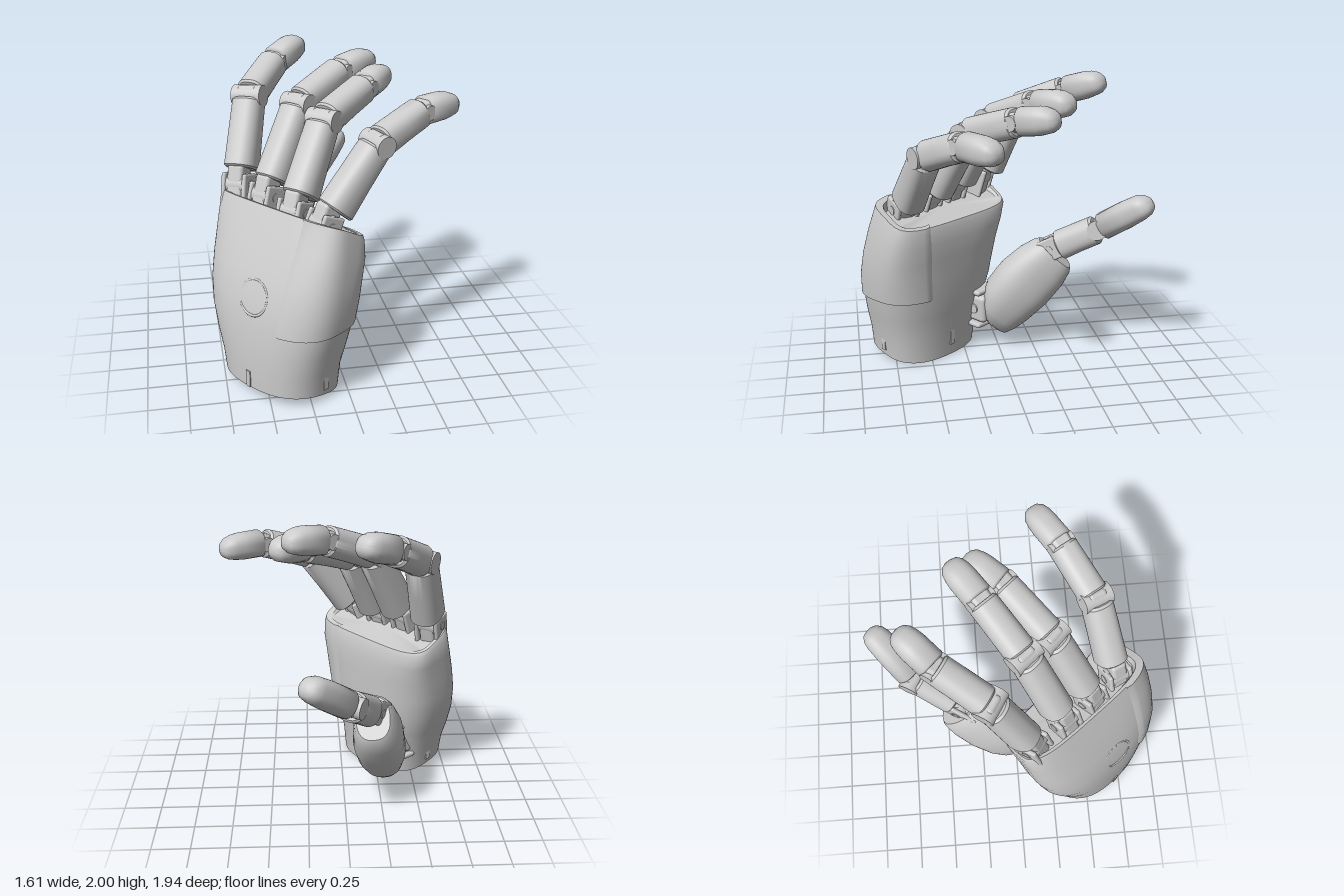
import * as THREE from 'three';
import { toCreasedNormals } from 'three/addons/utils/BufferGeometryUtils.js';
import { RoundedBoxGeometry } from 'three/addons/geometries/RoundedBoxGeometry.js';

const V = (x, y, z) => new THREE.Vector3(x, y, z);
const grey = new THREE.MeshStandardMaterial({ color: 0xcccccc });
const greyThin = new THREE.MeshStandardMaterial({ color: 0xcccccc, side: THREE.DoubleSide });

// Skin over superellipse rings stacked along y; p sets how square a ring is,
// lift raises its back half and lowers its front half.
const ring = ([y, w, d, ox = 0, oz = 0, lift = 0, p = 2.5]) => ({ y, w, d, ox, oz, lift, p });
function loft(rings, { sides = 40, arc = null, crease = 0.7 } = {}) {
  const [a0, a1] = arc || [0, Math.PI * 2];
  const point = (r, i) => {
    const pow = (c) => Math.sign(c) * Math.pow(Math.abs(c), 2 / r.p);
    const a = a0 + ((a1 - a0) * i) / sides;
    const k = arc && (i === 0 || i === sides) ? 0.95 : 1; // arc ends tuck inward
    const x = r.w * k * pow(Math.cos(a)), z = r.d * k * pow(Math.sin(a));
    return V(x + r.ox, r.y + r.lift * Math.tanh(z * 5), z + r.oz);
  };
  const out = [];
  const tri = (...pts) => pts.forEach((q) => out.push(q.x, q.y, q.z));
  for (let k = 0; k < rings.length - 1; k++) {
    for (let i = 0; i < sides; i++) {
      const a = point(rings[k], i), b = point(rings[k], i + 1);
      const c = point(rings[k + 1], i), d = point(rings[k + 1], i + 1);
      tri(a, c, b);
      tri(b, c, d);
    }
  }
  if (!arc) {
    const lo = rings[0], hi = rings[rings.length - 1];
    const cLo = V(lo.ox, lo.y, lo.oz), cHi = V(hi.ox, hi.y, hi.oz);
    for (let i = 0; i < sides; i++) {
      tri(cLo, point(lo, i), point(lo, i + 1));
      tri(cHi, point(hi, i + 1), point(hi, i));
    }
  }
  const g = new THREE.BufferGeometry();
  g.setAttribute('position', new THREE.Float32BufferAttribute(out, 3));
  return toCreasedNormals(g, crease);
}

function add(parent, name, geo, x = 0, y = 0, z = 0, material = grey) {
  const m = new THREE.Mesh(geo, material);
  m.name = name;
  m.position.set(x, y, z);
  parent.add(m);
  return m;
}

// Group at a point: local y along dir, x along the hinge axis, z toward the back of the hand.
function frame(parent, name, origin, dir, side) {
  const g = new THREE.Group();
  g.name = name;
  const y = dir.clone().normalize();
  const z = side.clone().cross(y).normalize();
  g.quaternion.setFromRotationMatrix(new THREE.Matrix4().makeBasis(y.clone().cross(z), y, z));
  g.position.copy(origin);
  parent.add(g);
  return g;
}

// Hinge pin along local x
function pin(parent, name, r, len, y = 0, z = 0) {
  add(parent, name, new THREE.CylinderGeometry(r, r, len, 28), 0, y, z).rotation.z = Math.PI / 2;
}

// Phalanx shell with softly chamfered ends, deeper toward the palm by the given factor at its base
function shell(parent, name, from, to, r, deep) {
  const at = (y, s, k) => ring([y, r * s, r * s * k, 0, -r * (k - 1)]);
  add(parent, name, loft([
    at(from, 0.88, deep), at(from + 0.012, 1, deep), at((from + to) / 2, 0.98, (1 + deep) / 2),
    at(to - 0.015, 0.96, 1.03), at(to, 0.83, 1.03),
  ]));
}

// Blunt fingertip
function tipShell(parent, from, len, r) {
  add(parent, 'fingertip', loft([
    [from, r * 0.86, r * 0.86], [from + 0.012, r, r], [len * 0.55, r, r * 0.98],
    [len - 0.09, r * 0.95, r * 0.9], [len - 0.045, r * 0.84, r * 0.76, 0, -0.004],
    [len - 0.015, r * 0.6, r * 0.52, 0, -0.007], [len - 0.003, r * 0.3, r * 0.25, 0, -0.008],
    [len, r * 0.08, r * 0.06, 0, -0.008],
  ].map(ring), { crease: 0.9 }));
}

// Fork plates, block and bolts of a base knuckle
function knuckle(parent, origin, dir, side) {
  const g = frame(parent, 'knuckle', origin, dir, side);
  add(g, 'knuckleBlock', new RoundedBoxGeometry(0.11, 0.26, 0.14, 3, 0.025));
  for (const sx of [-1, 1]) {
    add(g, 'forkPlate', new RoundedBoxGeometry(0.03, 0.2, 0.16, 3, 0.014), sx * 0.073, -0.03);
  }
  pin(g, 'knuckleBarrel', 0.072, 0.16);
  pin(g, 'knuckleBolt', 0.03, 0.185);
}

// Chain of shells through base knuckle, joints and tip
function digit(parent, name, pts, r, thumb = false) {
  const g = new THREE.Group();
  g.name = name;
  parent.add(g);
  const [a, ...rest] = pts.map((q) => V(...q));
  const tip = rest[rest.length - 1];
  const side = tip.clone().sub(a).setY(0).cross(V(0, 1, 0)).normalize();
  const firstDir = rest[0].clone().sub(a).normalize();
  knuckle(g, a, thumb ? firstDir : firstDir.add(V(0, 0.8, 0)), side);
  let start = a;
  rest.forEach((end, i) => {
    const len = end.distanceTo(start);
    const seg = frame(g, 'segment' + (i + 1), start, end.clone().sub(start), side);
    const rr = r * (1 - i * 0.06);
    if (end === tip) tipShell(seg, thumb ? 0.035 : 0.02, len, rr);
    else {
      const main = i === 0;
      const from = main ? (thumb ? 0.06 : 0.1) : 0.03;
      shell(seg, 'phalanx', from, len - (main ? 0.025 : 0.008), rr, main && !thumb ? 1.17 : 1.04);
      pin(seg, 'jointDisc', rr * (main ? 0.68 : 0.5), rr * (main ? 1.94 : 1.8), len);
      add(seg, 'jointCore', new RoundedBoxGeometry(rr * 1.3, 0.12, rr * 1.3, 3, 0.03), 0, len);
    }
    start = end;
  });
}

// Palm rings from wrist to knuckles
const palmRings = [
  [0.045, 0.372, 0.288, 0.03, 0.045, 0.042, 2.5], [0.2, 0.395, 0.295, 0.025, 0.04, 0.02, 2.5],
  [0.35, 0.442, 0.305, 0.015, 0.024, 0, 2.6], [0.5, 0.484, 0.308, 0.005, 0.008, 0, 2.7],
  [0.65, 0.508, 0.298, 0, -0.01, 0, 2.8], [0.8, 0.517, 0.272, -0.008, -0.042, 0.02, 3],
  [0.95, 0.521, 0.232, -0.022, -0.086, 0.06, 3.4], [1.08, 0.518, 0.188, -0.04, -0.118, 0.11, 3.8],
];

export function createModel() {
  const model = new THREE.Group();
  model.name = 'roboticHand';

  // Palm, hollow at the wrist, with a sunken floor behind the knuckles
  const palm = frame(model, 'palm', V(-0.375, 0, 0.48), V(0, 1, 0), V(0.61, 0, 0.79));
  const inner = [[0.3, 0.33, 0.245, 0.03, 0.043], [0.045, 0.33, 0.245, 0.03, 0.045, 0.042]];
  const top = [
    [1.105, 0.505, 0.177, -0.042, -0.12, 0.115, 3.8], [1.105, 0.48, 0.157, -0.042, -0.12, 0.115, 3.8],
    [1.075, 0.465, 0.147, -0.042, -0.12, 0.07, 3.8],
  ];
  add(palm, 'palmBody', loft([...inner, ...palmRings, ...top].map(ring), { sides: 64 }));

  // Cover plate round the little-finger edge
  const cover = palmRings.slice(3).map(([y, w, d, ...o]) => ring([y, w + 0.014, d + 0.014, ...o]));
  const grow = (r, dy, s) => ({ ...r, y: r.y + dy, w: r.w + s, d: r.d + s });
  const last = cover[cover.length - 1];
  add(palm, 'edgeCover', loft(
    [grow(cover[0], 0, -0.03), ...cover, grow(last, 0.03, -0.008), grow(last, 0.03, -0.04)],
    { arc: [-1.2, 1.2] },
  ), 0, 0, 0, greyThin);

  // Round back cap and wrist keys
  const cap = add(palm, 'backCapRing', new THREE.TorusGeometry(0.112, 0.009, 8, 40), 0.03, 0.68, 0.268);
  cap.rotation.x = -0.31;
  for (let i = 0; i < 4; i++) {
    const a = (i * Math.PI) / 2;
    const key = add(palm, 'wristKey', new THREE.BoxGeometry(0.035, 0.11, 0.02),
      0.028 + 0.378 * Math.sin(a), 0.14, 0.042 + 0.289 * Math.cos(a));
    key.rotation.y = a;
  }

  // Fingers: knuckle, middle joint, end joint, tip
  digit(model, 'indexFinger', [[-0.59, 1.2, 0.08], [-0.48, 1.71, -0.17], [-0.28, 1.86, -0.47], [-0.07, 1.95, -0.68]], 0.105);
  digit(model, 'middleFinger', [[-0.44, 1.19, 0.29], [-0.19, 1.7, 0.05], [0.12, 1.85, -0.18], [0.37, 1.89, -0.36]], 0.105);
  digit(model, 'ringFinger', [[-0.29, 1.15, 0.48], [-0.06, 1.64, 0.23], [0.25, 1.77, -0.04], [0.44, 1.81, -0.26]], 0.105);
  digit(model, 'littleFinger', [[-0.14, 1.13, 0.66], [0.21, 1.57, 0.53], [0.53, 1.7, 0.34], [0.8, 1.7, 0.17]], 0.102);

  // Thumb: base link, rounded mount, then two segments
  const thumb = new THREE.Group();
  thumb.name = 'thumb';
  model.add(thumb);
  const link = frame(thumb, 'thumbBaseLink', V(-0.35, 0.3, 0.13), V(0, 1, 0), V(0.61, 0, 0.79));
  add(link, 'linkBlock', new RoundedBoxGeometry(0.17, 0.2, 0.26, 3, 0.03));
  for (const sy of [-1, 1]) {
    add(link, 'linkPlate', new RoundedBoxGeometry(0.2, 0.035, 0.24, 3, 0.015), 0, sy * 0.125, 0.02);
  }
  pin(link, 'linkBolt', 0.035, 0.19, 0, -0.04);
  const mount = frame(thumb, 'thumbMount', V(-0.29, 0.22, 0.06), V(0.12, 0.52, -0.47), V(1, 0, 0));
  add(mount, 'mountShell', loft([
    [-0.035, 0.01, 0.02, 0, -0.07], [-0.028, 0.05, 0.065, 0, -0.07], [0, 0.1, 0.115, 0, -0.06],
    [0.08, 0.14, 0.165, 0, -0.032], [0.2, 0.17, 0.203, 0, -0.006], [0.38, 0.172, 0.218],
    [0.55, 0.15, 0.203], [0.66, 0.128, 0.172], [0.69, 0.11, 0.15],
  ].map(ring), { crease: 0.9 }));
  digit(thumb, 'thumbSegments', [[-0.16, 0.77, -0.37], [-0.01, 0.95, -0.67], [0.26, 1.2, -0.93]], 0.1, true);

  return model;
}
